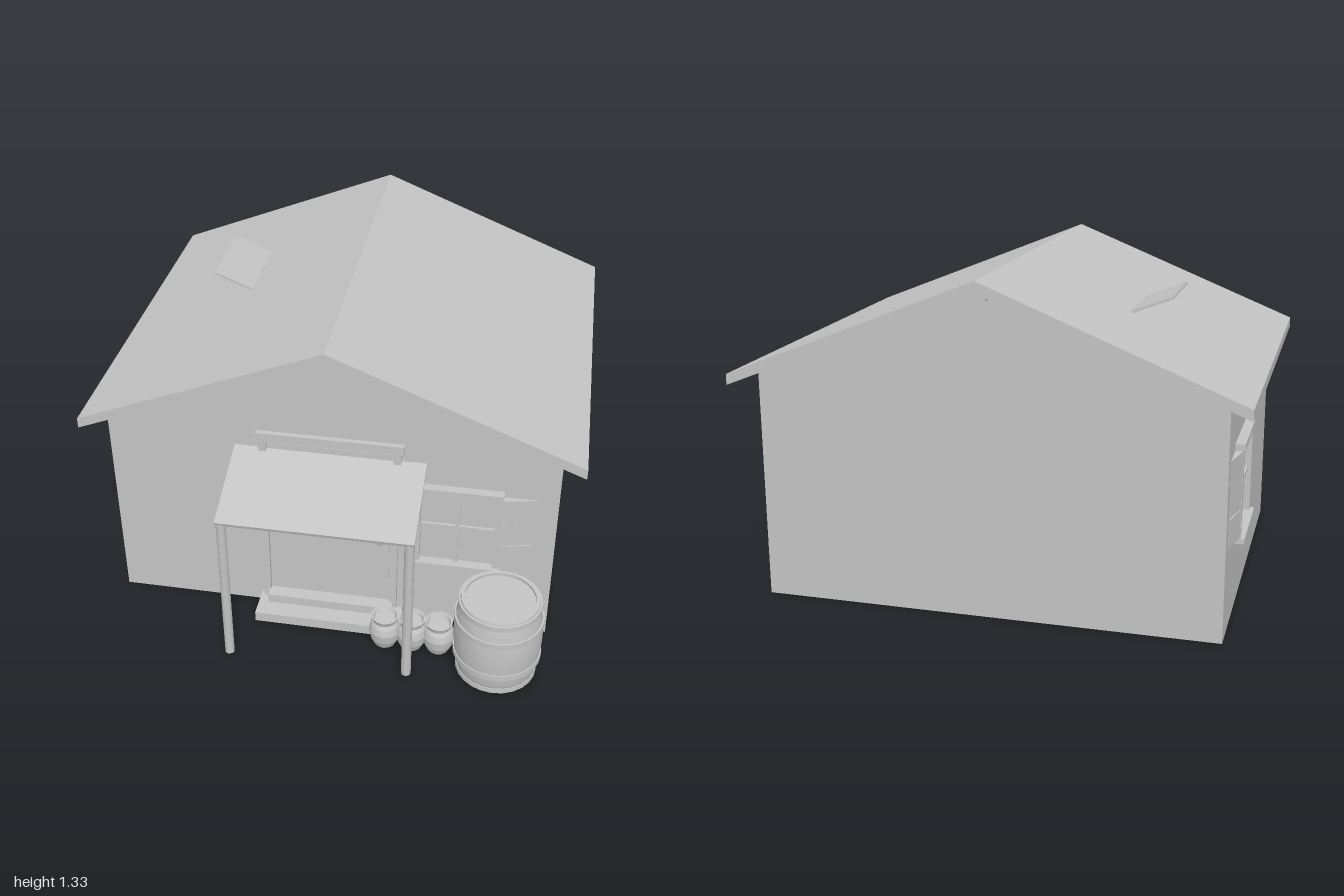
import * as THREE from 'three';

export function createModel() {
  const root = new THREE.Group();
  const clay = new THREE.MeshStandardMaterial({ color: 0xc4c4c4 });
  clay.name = 'plain grey';

  function add(parent, name, geometry, x = 0, y = 0, z = 0) {
    const m = new THREE.Mesh(geometry, clay);
    m.name = name;
    m.position.set(x, y, z);
    parent.add(m);
    return m;
  }
  function group(name, x = 0, y = 0, z = 0, parent = root) {
    const g = new THREE.Group();
    g.name = name;
    g.position.set(x, y, z);
    parent.add(g);
    return g;
  }
  // Box given by its limits on each axis
  function box(parent, name, x0, x1, y0, y1, z0, z1) {
    return add(parent, name, new THREE.BoxGeometry(x1 - x0, y1 - y0, z1 - z0),
      (x0 + x1) / 2, (y0 + y1) / 2, (z0 + z1) / 2);
  }
  // Outline in x and y, extruded from z0 to z1
  function prism(points, z0, z1) {
    const shape = new THREE.Shape(points.map(p => new THREE.Vector2(...p)));
    return new THREE.ExtrudeGeometry(shape, { depth: z1 - z0, bevelEnabled: false }).translate(0, 0, z0);
  }
  // Lathe with each profile segment creased
  function turned(points, sides) {
    const parts = [];
    for (let i = 0; i < points.length - 1; i++) {
      const [[r0, y0], [r1, y1]] = [points[i], points[i + 1]];
      parts.push(new THREE.LatheGeometry([new THREE.Vector2(r0, y0), new THREE.Vector2(r1, y1)], sides));
    }
    return parts;
  }

  // House body and roof
  add(root, 'walls', prism([[-0.912, 0], [0.912, 0], [0.912, 0.925], [0, 1.29], [-0.912, 0.925]], -0.89, 0.58));
  add(root, 'roof', prism([[-1, 0.885], [0, 1.287], [1, 0.885], [1, 0.928], [0, 1.33], [-1, 0.928]], -0.982, 0.675));
  box(root, 'ridgeBeam', -0.03, 0.03, 1.25, 1.29, -0.95, 0.64);

  // Open roof hatch
  const hatch = add(root, 'roofHatch', new THREE.BoxGeometry(0.178, 0.01, 0.36), -0.547, 1.173, -0.28);
  hatch.rotation.z = -Math.atan2(0.065, 0.165);

  // Windows with shutters that slope back to the wall
  function windowUnit(name, x, z, turn) {
    const g = group(name, x, 0, z);
    g.rotation.y = turn;
    box(g, 'pane', -0.155, 0.155, 0.345, 0.70, -0.01, 0.006);
    box(g, 'header', -0.178, 0.178, 0.69, 0.715, -0.01, 0.038);
    box(g, 'sill', -0.182, 0.182, 0.325, 0.345, -0.01, 0.048);
    box(g, 'mullion', -0.008, 0.008, 0.345, 0.69, 0, 0.018);
    box(g, 'crossbar', -0.155, 0.155, 0.515, 0.53, 0, 0.018);
    for (const s of [-1, 1]) {
      box(g, 'jamb', s * 0.163 - 0.014, s * 0.163 + 0.014, 0.345, 0.69, -0.01, 0.032);
      // Three planks of slightly different lengths
      [0.305, 0.29, 0.312].forEach((end, i) => {
        const pts = s > 0
          ? [[0.175, -0.005], [end, -0.005], [end, 0.001], [0.175, 0.03]]
          : [[-0.175, -0.005], [-0.175, 0.03], [-end, 0.001], [-end, -0.005]];
        const plank = prism(pts, 0, 0.112).rotateX(-Math.PI / 2);
        plank.scale(1, 1, -1);
        // Restore corner order after the flip
        const a = plank.attributes.position;
        for (let k = 0; k < a.count; k += 3) {
          const p = new THREE.Vector3().fromBufferAttribute(a, k + 1);
          a.setXYZ(k + 1, a.getX(k + 2), a.getY(k + 2), a.getZ(k + 2));
          a.setXYZ(k + 2, p.x, p.y, p.z);
        }
        plank.computeVertexNormals();
        add(g, 'shutterPlank', plank, 0, 0.348 + i * 0.1145, 0);
      });
    }
  }
  windowUnit('frontWindow', 0.52, 0.58, 0);
  windowUnit('leftWindow', 0.912, -0.52, Math.PI / 2);
  windowUnit('rightWindow', -0.912, -0.52, -Math.PI / 2);

  // Door and steps
  const door = group('door');
  box(door, 'doorPanel', -0.26, 0.25, 0.08, 0.64, 0.57, 0.587);
  box(door, 'doorFrameTop', -0.29, 0.28, 0.635, 0.665, 0.57, 0.605);
  for (const x of [-0.29, 0.25]) box(door, 'doorFrameSide', x, x + 0.03, 0, 0.64, 0.57, 0.605);
  box(door, 'lockPlate', 0.13, 0.245, 0.205, 0.48, 0.58, 0.593);
  add(door, 'knob', new THREE.SphereGeometry(0.016, 12, 8), 0.205, 0.412, 0.605);
  box(root, 'upperStep', -0.265, 0.265, 0, 0.085, 0.57, 0.645);
  box(root, 'lowerStep', -0.305, 0.305, 0, 0.045, 0.57, 0.72);

  // Porch awning on two posts
  const slope = Math.atan2(0.125, 0.35);
  const awning = add(root, 'awning', new THREE.BoxGeometry(0.775, 0.016, 0.372), 0, 0.745, 0.755);
  awning.rotation.x = slope;
  for (const x of [-0.367, 0.367]) {
    add(root, 'porchPost', new THREE.CylinderGeometry(0.02, 0.02, 0.68, 8), x, 0.34, 0.912);
  }

  // Bracketed rail over the awning
  const rail = group('overdoorRail');
  box(rail, 'topBar', -0.298, 0.298, 0.855, 0.893, 0.572, 0.602);
  box(rail, 'lowerBar', -0.255, 0.255, 0.815, 0.843, 0.572, 0.588);
  for (const x of [-0.272, 0.272]) box(rail, 'bracket', x - 0.016, x + 0.016, 0.805, 0.86, 0.572, 0.602);

  // Barrel with hoops and recessed lid
  const barrel = group('barrel', 0.72, 0, 0.80);
  const stave = y => 0.178 - 0.022 * ((y - 0.183) / 0.183) ** 2;
  const body = [new THREE.Vector2(0, 0)];
  for (let i = 0; i <= 10; i++) body.push(new THREE.Vector2(stave(i * 0.0365), i * 0.0365));
  add(barrel, 'staves', new THREE.LatheGeometry(body, 24));
  turned([[0.156, 0.365], [0.142, 0.365], [0.142, 0.352], [0, 0.352]], 24)
    .forEach(g => add(barrel, 'lid', g));
  for (const [y, h] of [[0.012, 0.022], [0.095, 0.026], [0.265, 0.026], [0.345, 0.022]]) {
    const r = stave(y) + 0.006;
    turned([[r - 0.01, y - h / 2], [r, y - h / 2], [r, y + h / 2], [r - 0.01, y + h / 2]], 24)
      .forEach(g => add(barrel, 'hoop', g));
  }

  // Row of clay pots
  for (const x of [0.255, 0.365, 0.478]) {
    const pot = group('pot', x, 0, 0.745);
    const profile = [[0, 0], [0.045, 0], [0.061, 0.035], [0.067, 0.075], [0.06, 0.105], [0.05, 0.122],
      [0.058, 0.145], [0.05, 0.145], [0.043, 0.13], [0, 0.13]];
    turned(profile, 14).forEach(g => add(pot, 'potWall', g));
  }
  return root;
}
